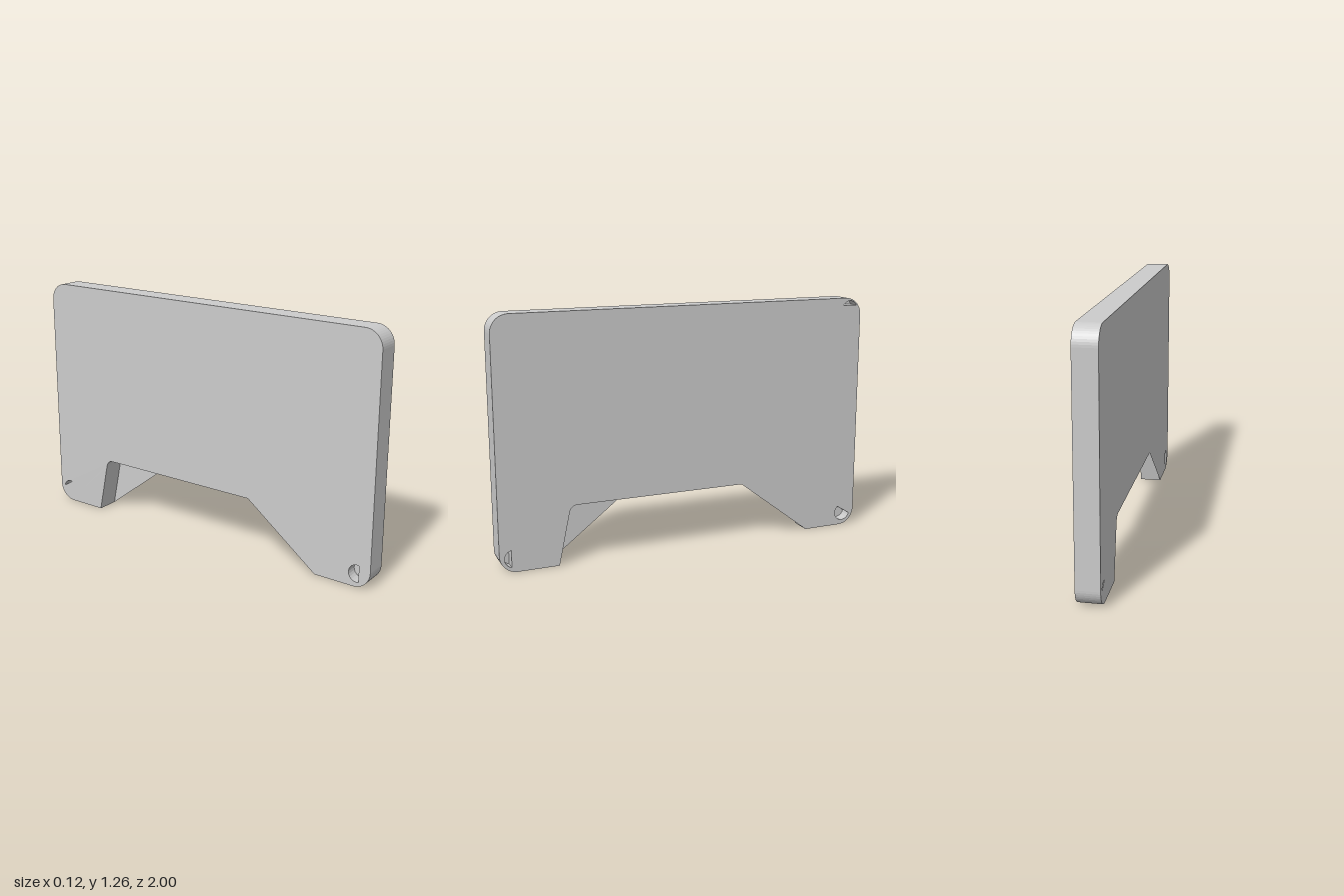
import * as THREE from 'three';

const T = 0.116;      // panel thickness
const H = 1.26;       // panel height
const R = 0.09;       // outer corner radius
const rad = THREE.MathUtils.degToRad;

// Side profile, drawn with shape x = model z
function panelShape() {
  const s = new THREE.Shape();
  s.moveTo(0.7, 0);
  s.lineTo(1 - R, 0);
  s.absarc(1 - R, R, R, -Math.PI / 2, 0);
  s.absarc(1 - R, H - R, R, 0, Math.PI / 2);
  s.absarc(-1 + R, H - R, R, Math.PI / 2, Math.PI);
  s.absarc(-1 + R, R, R, Math.PI, Math.PI * 1.5);
  s.lineTo(-0.7, 0);
  s.lineTo(-0.643, 0.265);
  s.quadraticCurveTo(-0.635, 0.303, -0.6, 0.303);
  s.lineTo(0.6, 0.303);
  s.quadraticCurveTo(0.635, 0.303, 0.643, 0.265);
  s.closePath();
  return s;
}

// Part-circle recess closed by a straight chord
function recess(u, y, from, to) {
  const pts = [];
  for (let i = 0; i <= 12; i++) {
    const a = rad(from + (to - from) * i / 12);
    pts.push(new THREE.Vector2(u + 0.045 * Math.cos(a), y + 0.045 * Math.sin(a)));
  }
  return new THREE.Path(pts);
}

// Thin triangular web between a leg and the underside; dir picks the leg
function webShape(dir) {
  const s = new THREE.Shape();
  s.moveTo(0.7 * dir, 0);
  s.lineTo(0.643 * dir, 0.265);
  s.quadraticCurveTo(0.635 * dir, 0.303, 0.6 * dir, 0.303);
  s.lineTo(0.303 * dir, 0.303);
  s.closePath();
  return s;
}

export function createModel() {
  const group = new THREE.Group();
  const solid = new THREE.MeshStandardMaterial({ color: 0xcccccc, flatShading: true });
  const thin = new THREE.MeshStandardMaterial({ color: 0xcccccc, side: THREE.DoubleSide });

  const add = (name, geo, material, offset) => {
    geo.translate(0, 0, offset).rotateY(-Math.PI / 2);   // shape x becomes z, depth becomes -x
    const mesh = new THREE.Mesh(geo, material);
    mesh.name = name;
    group.add(mesh);
  };

  // Two half-thickness layers, each with its own shallow corner recesses
  const layers = [
    ['leftPanelLayer', -T / 2, [
      recess(0.93, 0.07, -77, 77),
      recess(-0.93, 0.07, 193, 410),
      recess(-0.935, 1.2, 27, 153),
    ]],
    ['rightPanelLayer', 0, [
      recess(0.93, 0.07, 77, 283),
      recess(-0.93, 0.07, 75, 168),
    ]],
  ];
  for (const [name, offset, holes] of layers) {
    const shape = panelShape();
    shape.holes.push(...holes);
    add(name, new THREE.ExtrudeGeometry(shape, { depth: T / 2, bevelEnabled: false, curveSegments: 6 }), solid, offset);
  }

  // Webs on opposite faces: rear leg on +x, front leg on -x
  add('rearLegWeb', new THREE.ShapeGeometry(webShape(-1), 6), thin, -T / 2);
  add('frontLegWeb', new THREE.ShapeGeometry(webShape(1), 6), thin, T / 2);

  return group;
}
